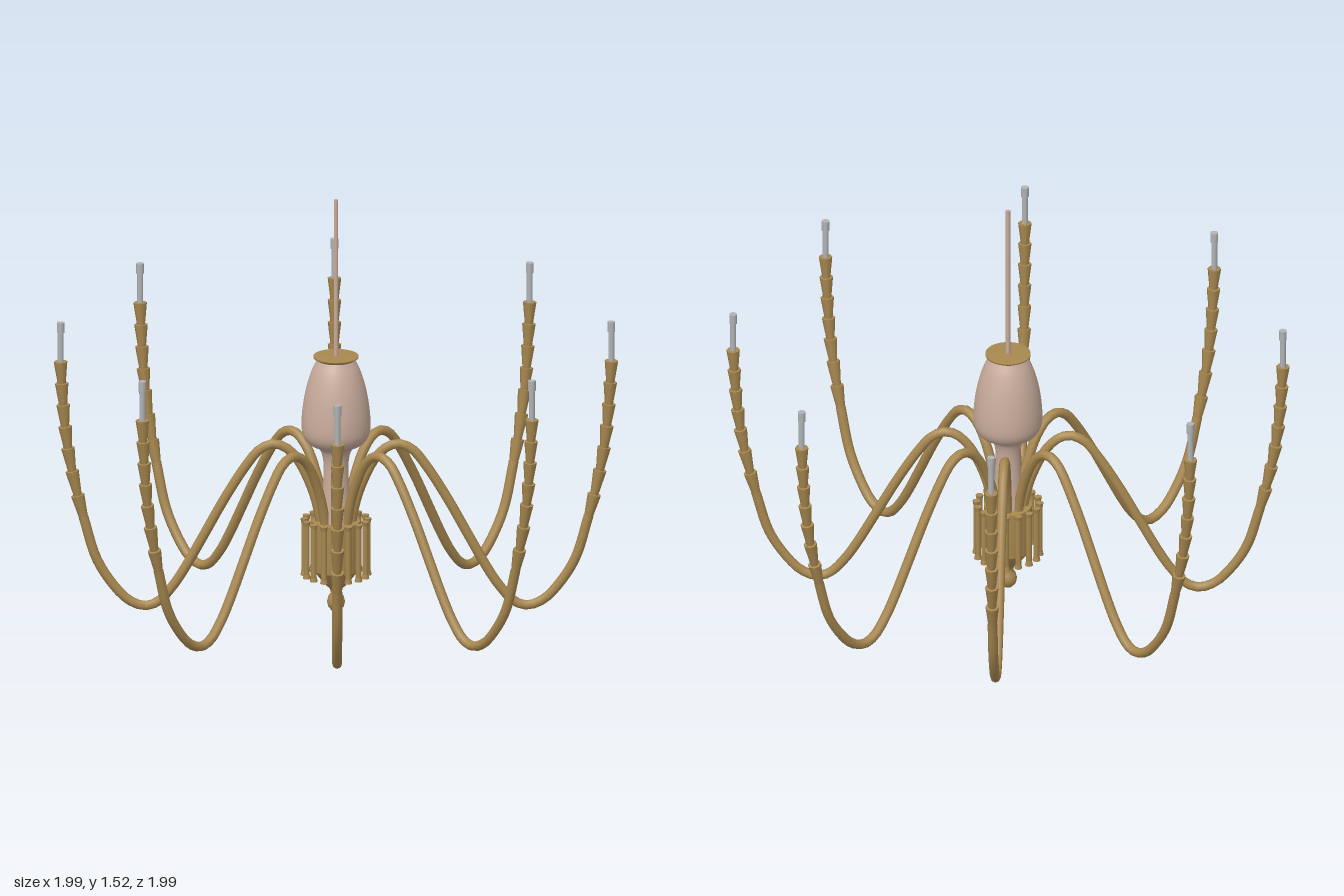
import * as THREE from 'three';

const gold = new THREE.MeshStandardMaterial({ color: 0xa88850, name: 'antique gold' });
const blush = new THREE.MeshStandardMaterial({ color: 0xc8ab9b, name: 'blush ceramic' });
const steel = new THREE.MeshStandardMaterial({ color: 0xb0b2b4, name: 'grey candle' });

function add(parent, name, geometry, material) {
  const mesh = new THREE.Mesh(geometry, material);
  mesh.name = name;
  parent.add(mesh);
  return mesh;
}

const lathe = (points, sides) =>
  new THREE.LatheGeometry(points.map(([r, y]) => new THREE.Vector2(r, y)), sides);

// Smooth curve through [radius, height] points in the plane of one arm
const curveThrough = (points) =>
  new THREE.CatmullRomCurve3(points.map(([r, y]) => new THREE.Vector3(r, y, 0)), false, 'centripetal');

// Vertical bar with a flat top and bottom, placed by its foot
function bar(parent, name, rTop, rBottom, y0, y1, x, z, sides, material) {
  const mesh = add(parent, name, new THREE.CylinderGeometry(rTop, rBottom, y1 - y0, sides), material);
  mesh.position.set(x, (y0 + y1) / 2, z);
  return mesh;
}

function createArm() {
  const arm = new THREE.Group();
  arm.name = 'arm';

  // Swept S-shaped pipe
  const sweep = curveThrough([
    [0.05, 0.3], [0.062, 0.38], [0.088, 0.47], [0.14, 0.575], [0.185, 0.617], [0.225, 0.626],
    [0.27, 0.605], [0.315, 0.55], [0.39, 0.43], [0.47, 0.283], [0.535, 0.165], [0.577, 0.1],
    [0.63, 0.042], [0.675, 0.027], [0.73, 0.047], [0.785, 0.103], [0.845, 0.2], [0.893, 0.36],
  ]);
  add(arm, 'armPipe', new THREE.TubeGeometry(sweep, 56, 0.0175, 8), gold);

  // Stack of flared cups climbing to the candle
  const cups = [
    [0.888, 0.34], [0.912, 0.435], [0.932, 0.525], [0.947, 0.61],
    [0.957, 0.69], [0.964, 0.77], [0.969, 0.85], [0.973, 0.93],
  ].map(([r, y]) => new THREE.Vector3(r, y, 0));
  const up = new THREE.Vector3(0, 1, 0);
  for (let i = 0; i < cups.length - 1; i++) {
    const along = cups[i + 1].clone().sub(cups[i]);
    const cup = add(arm, 'armCup', new THREE.CylinderGeometry(0.024, 0.014, along.length() + 0.004, 8), gold);
    cup.position.copy(cups[i]).addScaledVector(along, 0.5);
    cup.quaternion.setFromUnitVectors(up, along.normalize());
  }

  // Candle with a slightly wider tip
  bar(arm, 'candle', 0.011, 0.011, 0.92, 1.045, 0.973, 0, 10, steel);
  bar(arm, 'candleTip', 0.014, 0.014, 1.04, 1.077, 0.973, 0, 10, steel);
  return arm;
}

export function createModel() {
  const model = new THREE.Group();
  model.name = 'chandelier';

  // Hanging rod and cap
  bar(model, 'hangingRod', 0.008, 0.008, 0.93, 1.53, 0, 0, 10, blush);
  add(model, 'cap', lathe([
    [0, 0.93], [0.06, 0.93], [0.068, 0.94], [0.08, 0.946], [0.08, 0.952], [0, 0.952],
  ], 32), gold);

  // Vase-shaped body with a slim neck
  const vase = curveThrough([
    [0.06, 0.33], [0.052, 0.4], [0.045, 0.5], [0.046, 0.57], [0.06, 0.61], [0.098, 0.632],
    [0.117, 0.66], [0.122, 0.7], [0.117, 0.77], [0.104, 0.84], [0.085, 0.9], [0.066, 0.938],
  ]);
  add(model, 'vase', lathe(vase.getPoints(44).map((p) => [p.x, p.y]), 32), blush);

  // Drum, tapered underside and ball finial
  add(model, 'hub', lathe([
    [0, 0.005], [0.016, 0.01], [0.028, 0.024], [0.032, 0.043], [0.027, 0.062], [0.018, 0.075],
    [0.022, 0.09], [0.036, 0.104], [0.058, 0.13], [0.078, 0.158], [0.085, 0.165],
    [0.085, 0.34], [0.085, 0.34], [0, 0.346],
  ], 24), gold);

  // Ring of slim bars around the drum, with wider ends
  const count = 16;
  for (let i = 0; i < count; i++) {
    const a = (i / count) * Math.PI * 2;
    const x = Math.cos(a) * 0.112, z = Math.sin(a) * 0.112;
    bar(model, 'hubBar', 0.0105, 0.0105, 0.145, 0.345, x, z, 8, gold);
    bar(model, 'hubBarTop', 0.014, 0.011, 0.335, 0.35, x, z, 8, gold);
    bar(model, 'hubBarFoot', 0.011, 0.014, 0.14, 0.155, x, z, 8, gold);
  }

  // Eight arms
  for (let i = 0; i < 8; i++) {
    const arm = createArm();
    arm.rotation.y = (i * Math.PI) / 4;
    model.add(arm);
  }
  return model;
}
